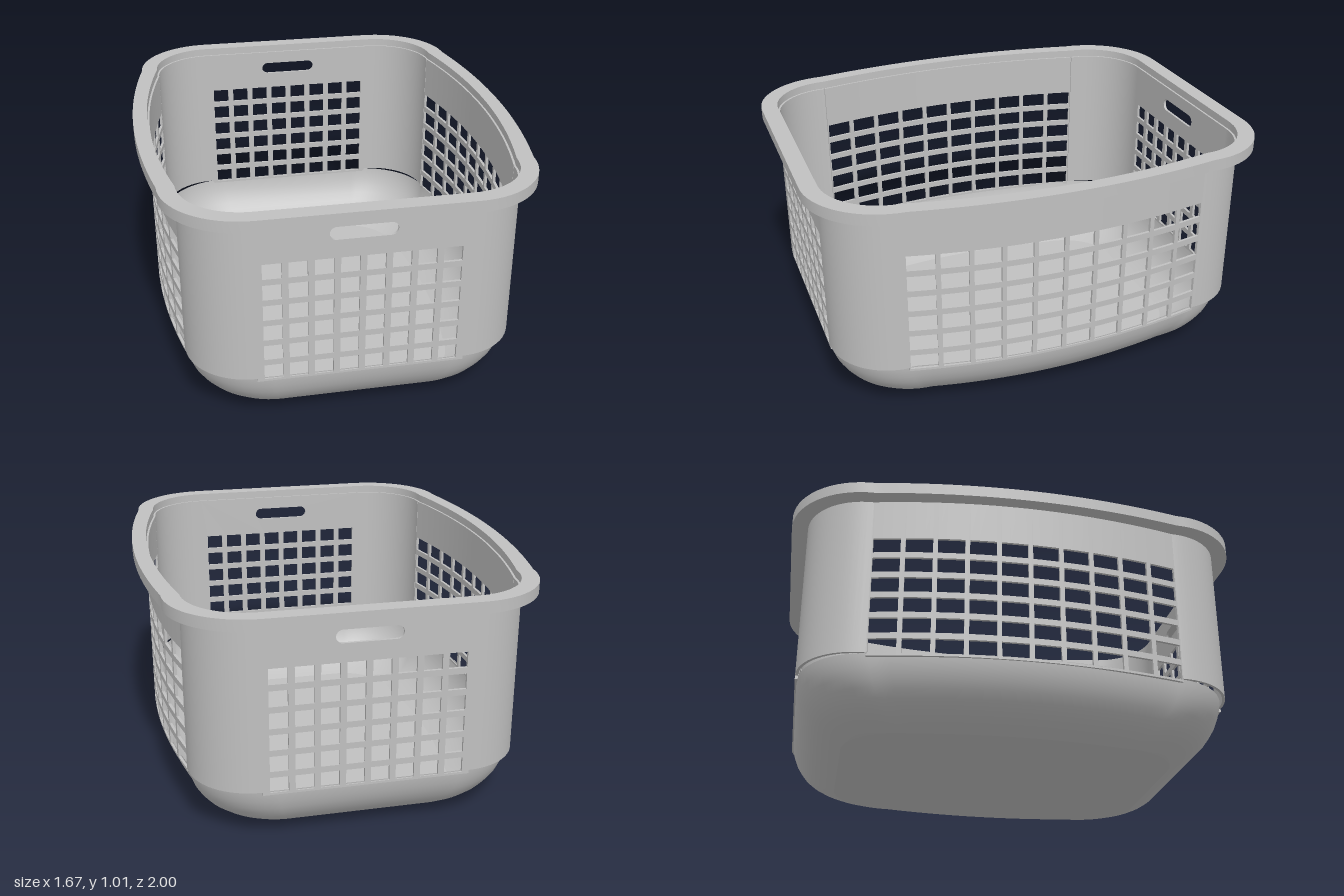
import * as THREE from 'three';
import { mergeGeometries, toCreasedNormals } from 'three/addons/utils/BufferGeometryUtils.js';

const WALL = 0.012, WALL_TOP = 0.975;
const CX = 0.43, CZ = 0.66, R = 0.27;      // wall corner centre and radius
const SIDE = 0.775, BULGE = 0.075;         // side wall reach and how far it bows out
const ROWS = 6, ROW_BASE = 0.245, ROW_PITCH = 0.0935, ROW_H = 0.067;

// Closed rounded outline with bowed sides, as [x, z] points
function outline({ x, e, cx, cz, rx, rz }) {
  const quarter = [];
  for (let i = 0; i < 12; i++) {
    const z = cz * i / 12;
    quarter.push([x - (x - e) * (z / cz) ** 2, z]);
  }
  for (let i = 0; i <= 16; i++) {
    const a = Math.PI / 2 * i / 16;
    quarter.push([cx + rx * Math.cos(a), cz + rz * Math.sin(a)]);
  }
  const back = [...quarter].reverse();
  const half = [...quarter, ...back.slice(0, -1).map(([px, pz]) => [-px, pz])];
  return [...half, ...half.map(([px, pz]) => [-px, -pz])];
}

const toVectors = pts => pts.map(([x, z]) => new THREE.Vector2(x, -z));

// Wall paths: u -> [x, z, outward x, outward z]
function sidePath(u) {
  const slope = 2 * BULGE * u / CZ ** 2, l = Math.hypot(1, slope);
  return [SIDE - BULGE * (u / CZ) ** 2, -u, 1 / l, -slope / l];
}
const cornerPath = sign => u => {
  const c = Math.cos(u), s = -Math.sin(u);
  return [sign * CX + R * c, CZ + R * s, c, s];
};

// Thin slab bent along a path
function slab(path, u0, u1, y0, y1, segments) {
  const g = new THREE.BoxGeometry(u1 - u0, y1 - y0, WALL, segments, 1, 1);
  g.translate((u0 + u1) / 2, (y0 + y1) / 2, -WALL / 2);
  const p = g.attributes.position, n = g.attributes.normal;
  for (let i = 0; i < p.count; i++) {
    const [x, z, ox, oz] = path(p.getX(i));
    const d = p.getZ(i), nu = n.getX(i), nd = n.getZ(i);
    p.setXYZ(i, x + ox * d, p.getY(i), z + oz * d);
    n.setXYZ(i, nu * oz + nd * ox, n.getY(i), -nu * ox + nd * oz);
  }
  return g;
}

// Bowed side wall: posts joined by short rails
function sideWall() {
  const cols = 10, w = 0.113, pitch = (1.31 - w) / (cols - 1), parts = [];
  let left = -CZ;
  for (let c = 0; c <= cols; c++) {
    const start = c < cols ? -0.655 + c * pitch : CZ;
    parts.push(slab(sidePath, left, start, 0.235, WALL_TOP, 1));
    if (c === cols) break;
    left = start + w;
    for (let r = 0; r <= ROWS; r++) {
      const y0 = r ? ROW_BASE + (r - 1) * ROW_PITCH + ROW_H : 0.235;
      const y1 = r < ROWS ? ROW_BASE + r * ROW_PITCH : WALL_TOP;
      parts.push(slab(sidePath, start, left, y0, y1, 3));
    }
  }
  return mergeGeometries(parts);
}

// Flat end wall with a grid of openings and a hand slot
function endWall() {
  const s = new THREE.Shape();
  s.moveTo(-CX, 0.235).lineTo(CX, 0.235).lineTo(CX, WALL_TOP).lineTo(-CX, WALL_TOP);
  const w = 0.077, pitch = (0.8 - w) / 7;
  for (let c = 0; c < 8; c++) for (let r = 0; r < ROWS; r++) {
    const x = -0.4 + c * pitch, y = ROW_BASE + r * ROW_PITCH;
    s.holes.push(new THREE.Path().moveTo(x, y).lineTo(x, y + ROW_H)
      .lineTo(x + w, y + ROW_H).lineTo(x + w, y));
  }
  const slot = new THREE.Path();
  slot.absarc(0.108, 0.887, 0.028, -Math.PI / 2, Math.PI / 2);
  slot.absarc(-0.108, 0.887, 0.028, Math.PI / 2, Math.PI * 1.5);
  s.holes.push(slot);
  const g = new THREE.ExtrudeGeometry(s, { depth: WALL, bevelEnabled: false, curveSegments: 10 });
  return g.translate(0, 0, CZ + R - WALL);
}

// Bowl sizes at the floor and at the top edge
const FLOOR = { x: 0.54, e: 0.5, cx: 0.27, cz: 0.45, rx: 0.23, rz: 0.27 };
const EDGE = { x: 0.77, e: 0.695, cx: 0.36, cz: 0.62, rx: 0.335, rz: 0.305 };

// Curved bowl lofted through outlines of growing size
function bowl() {
  const profile = [[0, 0], [0.2, 0.017], [0.38, 0.037], [0.54, 0.06], [0.68, 0.088],
    [0.79, 0.12], [0.88, 0.153], [0.945, 0.19], [0.985, 0.225], [1, 0.25]];
  const pos = [], idx = [];
  let n = 0;
  profile.forEach(([t, y], k) => {
    const size = {};
    for (const key in FLOOR) size[key] = FLOOR[key] + (EDGE[key] - FLOOR[key]) * t;
    const ring = outline(size);
    n = ring.length;
    ring.forEach(([x, z]) => pos.push(x, y, z));
    if (!k) return;
    for (let i = 0; i < n; i++) {
      const a = (k - 1) * n + i, b = (k - 1) * n + (i + 1) % n;
      idx.push(a, a + n, b, b, a + n, b + n);
    }
  });
  const g = new THREE.BufferGeometry();
  g.setAttribute('position', new THREE.Float32BufferAttribute(pos, 3));
  g.setIndex(idx);
  g.computeVertexNormals();
  return g;
}

// Flat ring around the top
function rim() {
  const s = new THREE.Shape(toVectors(outline({ x: 0.835, e: 0.77, cx: CX, cz: CZ, rx: 0.34, rz: 0.34 })));
  s.holes.push(new THREE.Path(toVectors(outline({ x: SIDE - 0.003, e: 0.697, cx: CX, cz: CZ, rx: 0.267, rz: 0.267 }))));
  const g = new THREE.ExtrudeGeometry(s, { depth: 0.05, bevelEnabled: false });
  g.rotateX(-Math.PI / 2).translate(0, 0.96, 0);
  return toCreasedNormals(g, 0.5);
}

export function createModel() {
  const plastic = new THREE.MeshStandardMaterial({ color: 0xc0c0c0, side: THREE.DoubleSide });
  plastic.name = 'grey plastic';
  const model = new THREE.Group();
  model.name = 'laundryBasket';
  const add = (name, geometry, turn = 0) => {
    const mesh = new THREE.Mesh(geometry, plastic);
    mesh.name = name;
    mesh.rotation.y = turn;
    model.add(mesh);
  };

  const end = endWall(), side = sideWall();
  const leftCorner = slab(cornerPath(1), -Math.PI / 2, 0, 0.25, WALL_TOP, 16);
  const rightCorner = slab(cornerPath(-1), -Math.PI, -Math.PI / 2, 0.25, WALL_TOP, 16);
  // Each wall piece repeats after half a turn
  add('frontWall', end);
  add('backWall', end, Math.PI);
  add('leftWall', side);
  add('rightWall', side, Math.PI);
  add('frontLeftCorner', leftCorner);
  add('backRightCorner', leftCorner, Math.PI);
  add('frontRightCorner', rightCorner);
  add('backLeftCorner', rightCorner, Math.PI);

  add('bowl', bowl());
  const floor = new THREE.ShapeGeometry(new THREE.Shape(toVectors(outline(FLOOR))));
  add('floor', floor.rotateX(-Math.PI / 2));
  add('rim', rim());
  return model;
}
